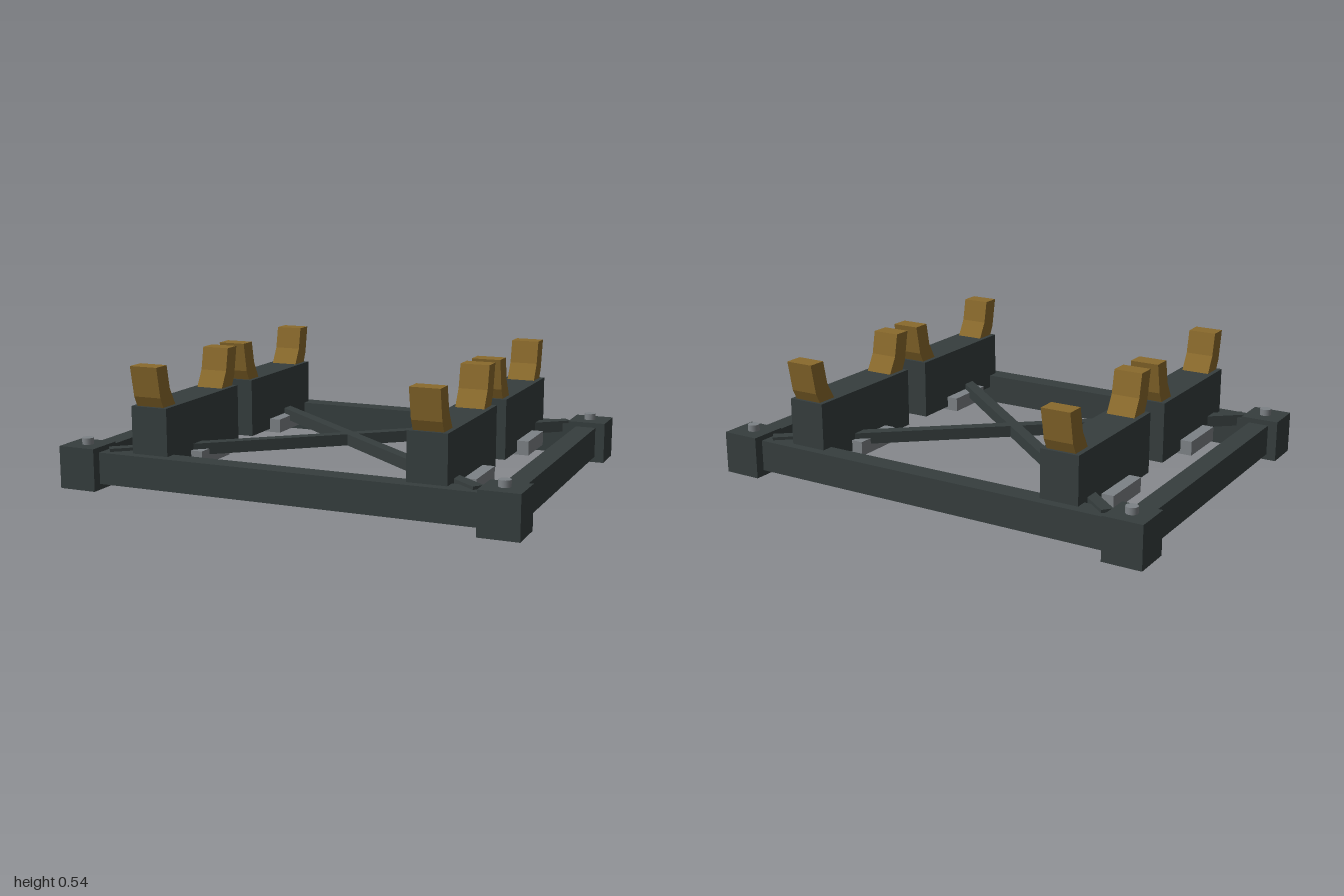
import * as THREE from 'three';

export function createModel() {
  const model = new THREE.Group();
  model.name = 'cradleFrame';
  const mat = (name, color) => {
    const m = new THREE.MeshStandardMaterial({ color });
    m.name = name;
    return m;
  };
  const dark = mat('darkSteel', 0x363e3e);
  const gold = mat('ochrePad', 0x8a6a2c);
  const grey = mat('greySteel', 0x7d8286);

  const add = (name, geometry, material, x, y, z, parent = model) => {
    const mesh = new THREE.Mesh(geometry, material);
    mesh.name = name;
    mesh.position.set(x, y, z);
    parent.add(mesh);
    return mesh;
  };
  // Box given by its minimum and maximum corners
  const box = (name, material, [x0, y0, z0], [x1, y1, z1], parent) =>
    add(name, new THREE.BoxGeometry(x1 - x0, y1 - y0, z1 - z0), material,
      (x0 + x1) / 2, (y0 + y1) / 2, (z0 + z1) / 2, parent);

  // Bent prong, drawn in (z, y) and extruded across x
  const profile = [[0.57, 0.355], [0.665, 0.355], [0.69, 0.405], [0.715, 0.535], [0.635, 0.535], [0.615, 0.435]];
  const width = 0.125;
  const prongGeometry = (inner) => {
    // After the turn below, shape x maps to -z
    const pts = profile.map(([z, y]) => new THREE.Vector2(inner ? z - 0.75 : -z, y));
    const g = new THREE.ExtrudeGeometry(new THREE.Shape(pts), { depth: width, bevelEnabled: false });
    g.translate(0, 0, -width / 2);
    g.rotateY(Math.PI / 2);
    return g;
  };
  const outerProng = prongGeometry(false);
  const innerProng = prongGeometry(true);

  // Perimeter beams
  for (const s of [-1, 1]) {
    add('crossBeam', new THREE.BoxGeometry(1.7, 0.135, 0.09), dark, 0, 0.0925, s * 0.677);
    add('sideRail', new THREE.BoxGeometry(0.09, 0.135, 1.24), dark, s * 0.913, 0.0925, 0);
  }

  // Diagonal braces
  for (const s of [-1, 1]) {
    const brace = add('diagonalBrace', new THREE.BoxGeometry(2.11, 0.05, 0.05), dark, 0, 0.148, 0);
    brace.rotation.y = s * Math.atan2(0.675, 0.81);
  }

  const boltGeometry = new THREE.CylinderGeometry(0.025, 0.025, 0.04, 16);
  for (const sx of [-1, 1]) {
    for (const sz of [-1, 1]) {
      // Corner foot with bolt
      add('cornerFoot', new THREE.BoxGeometry(0.168, 0.182, 0.166), dark, sx * 0.916, 0.091, sz * 0.68);
      add('cornerBolt', boltGeometry, grey, sx * 0.913, 0.19, sz * 0.68);

      // Support: block, mounting plate and two prongs
      const support = new THREE.Group();
      support.name = 'support';
      support.position.x = sx * 0.608;
      if (sz < 0) support.rotation.y = Math.PI;
      model.add(support);
      box('supportBlock', dark, [-0.083, 0.1, 0.068], [0.083, 0.362, 0.682], support);
      box('mountingPlate', grey, [-0.135, 0.085, 0.25], [0.135, 0.148, 0.49], support);
      add('outerProng', outerProng, gold, 0, 0, 0, support);
      add('innerProng', innerProng, gold, 0, 0, 0, support);
    }
  }
  return model;
}
